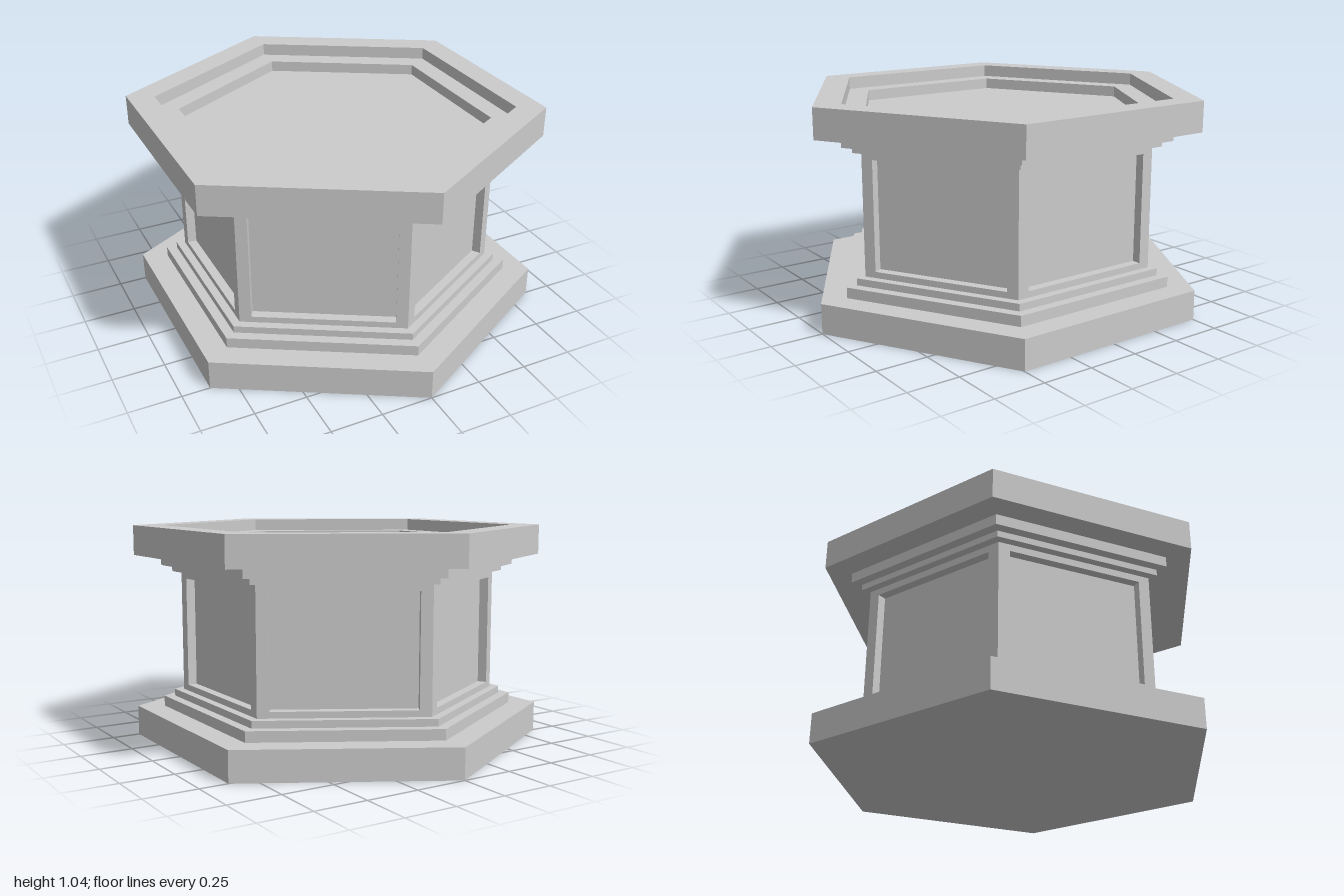
import * as THREE from 'three';

const SIDES = 6;
const SHAFT_R = 0.77;                                  // corner radius of the shaft
const APOTHEM = SHAFT_R * Math.cos(Math.PI / SIDES);   // centre to face
const RECESS = 0.044;                                  // depth of the sunk panels
const SHAFT_Y0 = 0.23, SHAFT_Y1 = 0.82;

const material = new THREE.MeshStandardMaterial({ color: 0xcccccc, flatShading: true });

function addMesh(parent, name, geometry) {
  const mesh = new THREE.Mesh(geometry, material);
  mesh.name = name;
  parent.add(mesh);
  return mesh;
}

// Hexagonal solid from a [radius, height] profile, corners on the z axis
function hexTurned(profile) {
  const points = profile.map(([r, y]) => new THREE.Vector2(r, y));
  const geometry = new THREE.LatheGeometry(points, SIDES).toNonIndexed();
  geometry.computeVertexNormals();
  return geometry;
}

// Rectangular frame for one shaft face
function frameGeometry() {
  const w = SHAFT_R / 2;
  const shape = new THREE.Shape([
    new THREE.Vector2(-w, SHAFT_Y0), new THREE.Vector2(w, SHAFT_Y0),
    new THREE.Vector2(w, SHAFT_Y1), new THREE.Vector2(-w, SHAFT_Y1),
  ]);
  const h = 0.33, y0 = 0.26, y1 = 0.787;
  shape.holes.push(new THREE.Path([
    new THREE.Vector2(-h, y0), new THREE.Vector2(-h, y1),
    new THREE.Vector2(h, y1), new THREE.Vector2(h, y0),
  ]));
  const geometry = new THREE.ExtrudeGeometry(shape, { depth: RECESS, bevelEnabled: false });
  return geometry.translate(0, 0, APOTHEM - RECESS);
}

export function createModel() {
  const model = new THREE.Group();
  model.name = 'hexagonalPedestal';

  // Stepped base
  addMesh(model, 'base', hexTurned([
    [0, 0], [1, 0], [1, 0.145], [0.868, 0.145], [0.868, 0.196],
    [0.815, 0.196], [0.815, SHAFT_Y0], [0, SHAFT_Y0],
  ]));

  // Shaft core forms the sunk panel faces, with a frame on each side
  const shaft = new THREE.Group();
  shaft.name = 'shaft';
  model.add(shaft);
  const coreR = (APOTHEM - RECESS) / Math.cos(Math.PI / SIDES);
  addMesh(shaft, 'panelCore', hexTurned([
    [0, SHAFT_Y0], [coreR, SHAFT_Y0], [coreR, SHAFT_Y1], [0, SHAFT_Y1],
  ]));
  const frame = frameGeometry();
  for (let i = 0; i < SIDES; i++) {
    addMesh(shaft, 'panelFrame', frame).rotation.y = (i + 0.5) * Math.PI * 2 / SIDES;
  }

  // Stepped cap with a two-level basin sunk into its top
  addMesh(model, 'cap', hexTurned([
    [0, SHAFT_Y1], [0.815, SHAFT_Y1], [0.815, 0.85], [0.868, 0.85], [0.868, 0.9],
    [1, 0.9], [1, 1.045], [0.86, 1.045], [0.86, 0.985],
    [0.747, 0.985], [0.747, 0.932], [0, 0.932],
  ]));

  return model;
}
